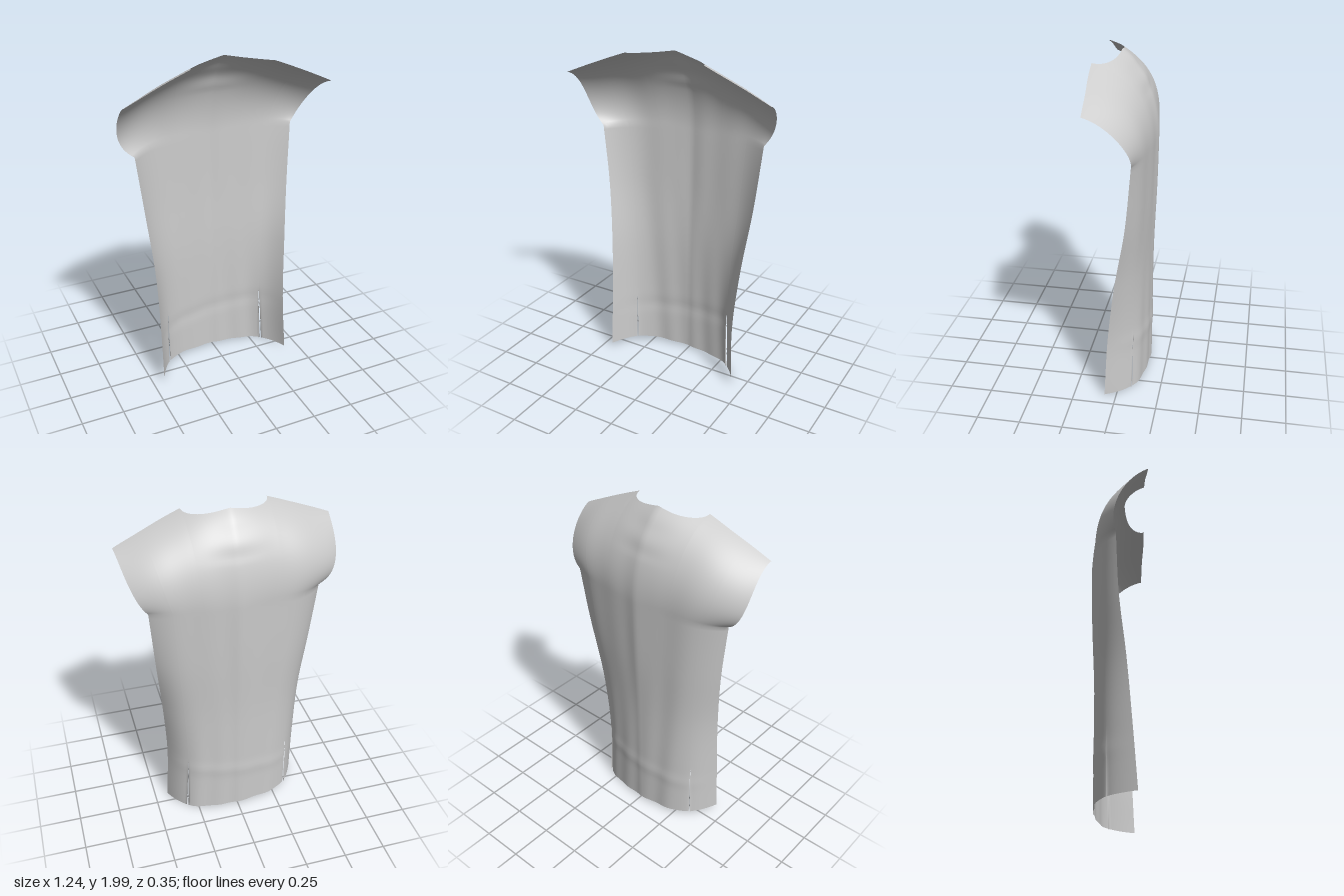
import * as THREE from 'three';
import { mergeVertices } from 'three/addons/utils/BufferGeometryUtils.js';

const V = (x, y, z) => new THREE.Vector3(x, y, z);
const curve = pts => new THREE.CatmullRomCurve3(pts.map(p => V(...p)), false, 'catmullrom', 0.5);
const lerp = THREE.MathUtils.lerp;
const bump = (x, width) => Math.exp(-((x / width) ** 2));

// Side edges and centre line of the body, hem to underarm
const centre = curve([[0, 0.015, -0.148], [0, 0.38, -0.15], [0, 0.75, -0.152], [0, 1.12, -0.163], [0, 1.5, -0.172]]);
const sides = {
  right: {
    body: curve([[-0.435, 0.03, 0.10], [-0.435, 0.38, 0.075], [-0.443, 0.75, 0.045], [-0.475, 1.12, 0.005], [-0.515, 1.48, -0.01]]),
    sleeve: V(-0.66, 1.565, -0.06), tip: V(-0.62, 1.83, 0.175), slit: 0.775, gap: 0.005,
  },
  left: {
    body: curve([[0.42, 0.002, 0.07], [0.405, 0.38, 0.05], [0.425, 0.75, 0.005], [0.46, 1.12, -0.06], [0.49, 1.5, -0.10]]),
    sleeve: V(0.575, 1.6, -0.13), tip: V(0.62, 1.8, 0.125), slit: 0.745, gap: 0.011,
  },
};
const NECK = 0.39;        // neck corner as a share of the half width
const SLIT_TOP = 0.4;

// Section shape: nearly flat across the back, wrapping forward at the sides
const wrap = (a, v) => lerp(a ** 5, a, lerp(0.17, 0.33, v));
const sideOf = s => (s < 0 ? sides.right : sides.left);

function bodyPoint(s, v) {
  const a = Math.abs(s), c = centre.getPoint(v), e = sideOf(s).body.getPoint(v);
  return V(e.x * a, lerp(c.y, e.y, a), lerp(c.z, e.z, wrap(a, v)));
}

// Yoke: each column rolls from the underarm level forward to the shoulder line
function yokeCurve(s) {
  const a = Math.abs(s), { sleeve, tip } = sideOf(s), w = wrap(a, 1);
  const top = V(tip.x * a, lerp(2.05, tip.y, a ** 1.2), lerp(0.15, tip.z, Math.max(0, a - NECK) / (1 - NECK)));
  const p1 = V(sleeve.x * a, lerp(1.77, sleeve.y, a ** 4), lerp(-0.175, sleeve.z, w));
  const p2 = V(top.x * 0.97, top.y - lerp(0.05, 0.035, a), top.z - lerp(0.21, 0.125, a));
  return new THREE.CubicBezierCurve3(bodyPoint(s, 1), p1, p2, top);
}

// How far a column runs before the round neckline cuts it off
function neckTrim(s, column) {
  if (Math.abs(s) >= NECK) return 1;
  const neckZ = 0.15 - 0.122 * Math.sqrt(1 - (s / NECK) ** 2);
  let lo = 0.4, hi = 1;
  for (let i = 0; i < 24; i++) {
    const mid = (lo + hi) / 2;
    if (column.getPoint(mid).z < neckZ) lo = mid; else hi = mid;
  }
  return hi;
}

// Soft cloth folds: centre ridge, loose hem, hem band, creases under the neck
function drape(p, s) {
  const fade = 1 - s ** 4, low = Math.max(0, 1 - p.y / 1.2);
  p.z -= 0.007 * bump(s, 0.12) * bump(p.y - 1.3, 0.5);
  p.z += 0.002 * fade * Math.sin(s * 13 + 0.6) * Math.min(1, p.y);
  p.z += 0.003 * fade * low * Math.sin(s * 17 + p.y * 2);
  p.z -= 0.004 * fade * bump(p.y - 0.3 - 0.04 * s, 0.04);
  if (p.y > 1.75) p.z += 0.0025 * bump(s, 0.25) * Math.sin((p.y - 1.75) * 50) * Math.min(1, Math.max(0, 2 - p.y) * 10);
  return p;
}

function createBackPanel() {
  // Columns: fine at the neck corners, doubled at each hem slit
  const half = [];
  for (let i = 0; i <= 16; i++) half.push(NECK * Math.sin((i / 16) * Math.PI / 2));
  for (let i = 1; i <= 26; i++) half.push(lerp(NECK, 1, i / 26));
  const all = [...half.slice(1).map(a => -a), ...half].map(s => ({ s, cut: 0 }));
  for (const [sign, side] of [[-1, sides.right], [1, sides.left]])
    for (const cut of [-1, 1]) all.push({ s: sign * side.slit, cut });
  all.sort((p, q) => p.s - q.s || p.cut - q.cut);

  const bodyRows = 56, yokeRows = 30, pos = [], idx = [];
  const rows = bodyRows + yokeRows + 1;
  for (const { s, cut } of all) {
    const column = yokeCurve(s), end = neckTrim(s, column);
    for (let j = 0; j < rows; j++) {
      const p = drape(j <= bodyRows ? bodyPoint(s, j / bodyRows) : column.getPoint(end * (j - bodyRows) / yokeRows), s);
      if (cut) p.x += cut * sideOf(s).gap * Math.max(0, 1 - p.y / SLIT_TOP) ** 0.8;
      pos.push(p.x, p.y, p.z);
    }
  }
  for (let i = 0; i < all.length - 1; i++) {
    if (all[i].cut === -1) continue;
    for (let j = 0; j < rows - 1; j++) {
      const a = i * rows + j, b = a + rows;
      idx.push(a, a + 1, b, b, a + 1, b + 1);
    }
  }
  let geo = new THREE.BufferGeometry();
  geo.setAttribute('position', new THREE.Float32BufferAttribute(pos, 3));
  geo.setIndex(idx);
  geo = mergeVertices(geo, 1e-5);
  geo.computeVertexNormals();
  return geo;
}

export function createModel() {
  const group = new THREE.Group();
  group.name = 'garmentBack';
  const cloth = new THREE.MeshStandardMaterial({ color: 0xcccccc, side: THREE.DoubleSide });
  const panel = new THREE.Mesh(createBackPanel(), cloth);
  panel.name = 'backPanel';
  group.add(panel);
  return group;
}
